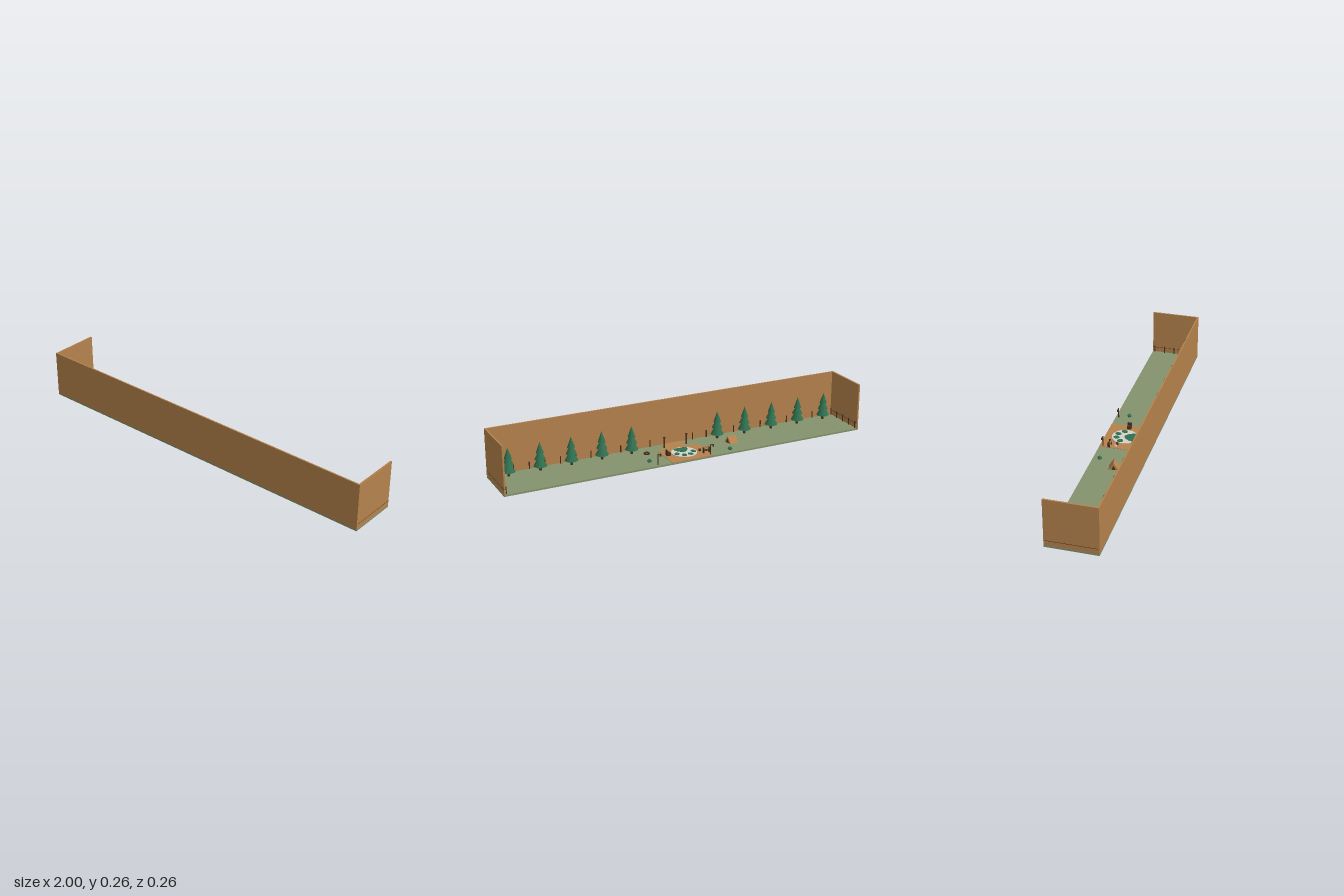
import * as THREE from 'three';

const mat = (name, color, extra = {}) => {
  const m = new THREE.MeshStandardMaterial({ color, ...extra });
  m.name = name;
  return m;
};

export function createModel() {
  const root = new THREE.Group();
  root.name = 'campYard';
  const tan = mat('tanWood', 0xb5824c);
  const grass = mat('grassGreen', 0x84926d);
  const pine = mat('pineGreen', 0x2f6f4f, { flatShading: true });
  const dark = mat('darkWood', 0x4a3020);
  const stone = mat('paleStone', 0xd2d2c8);
  const ember = mat('emberOrange', 0xc8783a);
  const GY = 0.009; // lawn height

  const add = (name, geo, m, x, y, z, parent = root) => {
    const o = new THREE.Mesh(geo, m);
    o.name = name;
    o.position.set(x, y, z);
    parent.add(o);
    return o;
  };
  const box = (name, m, w, h, d, x, y, z, parent) =>
    add(name, new THREE.BoxGeometry(w, h, d), m, x, y, z, parent);
  const cyl = (name, m, r, h, x, y, z, parent, n = 8) =>
    add(name, new THREE.CylinderGeometry(r, r, h, n), m, x, y, z, parent);
  const group = (name, x, y, z) => {
    const g = new THREE.Group();
    g.name = name;
    g.position.set(x, y, z);
    root.add(g);
    return g;
  };

  // Lawn and the three walls; the back is open
  box('lawn', grass, 2, GY, 0.264, 0, GY / 2, 0);
  box('frontWall', tan, 2, 0.248, 0.0075, 0, GY + 0.124, 0.12825);
  for (const s of [-1, 1]) {
    box('sideWall', tan, 0.0085, 0.248, 0.2565, s * 0.9953, GY + 0.124, -0.00375);
    box('sideSeam', dark, 0.009, 0.002, 0.256, s * 0.9955, 0.036, -0.004);
  }

  // Fence posts along the front and side walls
  const postGeo = new THREE.CylinderGeometry(0.003, 0.003, 0.038, 6);
  for (let i = 0; i < 24; i++) {
    const x = -0.949 + i * 0.0825;
    if (Math.abs(x) > 0.06) add('fencePost', postGeo, dark, x, GY + 0.019, 0.12);
  }
  for (const s of [-1, 1])
    for (let i = 0; i < 5; i++)
      add('fencePost', postGeo, dark, s * 0.986, GY + 0.019, -0.12 + i * 0.058);

  // Square patio and path to the front wall
  box('patio', tan, 0.235, 0.002, 0.182, -0.0025, GY + 0.001, -0.041);
  box('path', tan, 0.12, 0.002, 0.076, 0, GY + 0.001, 0.087);

  // Round stone with a paw print
  cyl('stoneDisc', stone, 0.067, 0.004, 0, GY + 0.003, -0.03, root, 32);
  const pad = new THREE.Shape();
  pad.moveTo(0, 0.027);
  pad.bezierCurveTo(0.018, 0.027, 0.036, -0.004, 0.038, -0.018);
  pad.bezierCurveTo(0.039, -0.034, 0.018, -0.031, 0, -0.029);
  pad.bezierCurveTo(-0.018, -0.031, -0.039, -0.034, -0.038, -0.018);
  pad.bezierCurveTo(-0.036, -0.004, -0.018, 0.027, 0, 0.027);
  const padGeo = new THREE.ExtrudeGeometry(pad, { depth: 0.003, bevelEnabled: false, curveSegments: 8 });
  padGeo.rotateX(-Math.PI / 2);
  add('pawPad', padGeo, pine, 0, GY + 0.004, -0.004);
  for (const s of [-1, 1])
    for (const [x, z, r] of [[0.047, -0.042, -0.4], [0.018, -0.069, -0.15]]) {
      const toe = cyl('pawToe', pine, 0.013, 0.003, s * x, GY + 0.0055, z, root, 16);
      toe.scale.z = 1.25;
      toe.rotation.y = s * r;
    }

  // Pine trees in two rows of five
  const tiers = [[0.035, 0.06, 0.032], [0.028, 0.055, 0.067], [0.02, 0.058, 0.1]];
  for (const start of [-0.91, 0.245])
    for (let i = 0; i < 5; i++) {
      const g = group('pineTree', start + i * 0.165, GY, 0.08);
      cyl('trunk', dark, 0.007, 0.045, 0, 0.0225, 0, g);
      tiers.forEach(([r, h, y], k) => {
        const t = add('foliage', new THREE.ConeGeometry(r, h, 10), pine, 0, y + h / 2 - 0.008, 0, g);
        t.rotation.y = k * 0.3;
      });
    }

  // Ridge tent
  const tri = new THREE.Shape([[-0.025, 0], [0.025, 0], [0, 0.036]].map(p => new THREE.Vector2(...p)));
  const tentGeo = new THREE.ExtrudeGeometry(tri, { depth: 0.05, bevelEnabled: false });
  tentGeo.translate(0, 0, -0.025);
  const tent = group('tent', -0.29, GY, -0.005);
  tent.rotation.y = Math.PI / 2 + 0.17;
  add('tentCanvas', tentGeo, tan, 0, 0, 0, tent);
  for (const s of [-1, 1]) {
    const door = new THREE.Shape([[-0.01, 0], [0.01, 0], [0, 0.024]].map(p => new THREE.Vector2(...p)));
    const d = add('tentDoor', new THREE.ShapeGeometry(door), dark, 0, 0.0005, s * 0.0255, tent);
    if (s < 0) d.rotation.y = Math.PI;
  }

  // Lamp posts with a short arm and hanging lantern
  for (const x of [-0.108, 0.19]) {
    const g = group('lampPost', x, GY, -0.116);
    cyl('lampPole', dark, 0.0028, 0.056, 0, 0.028, 0, g);
    box('lampArm', dark, 0.02, 0.003, 0.004, -0.008, 0.055, 0, g);
    box('lantern', dark, 0.007, 0.011, 0.007, -0.015, 0.048, 0, g);
  }

  // Gate posts beside the path
  for (const x of [-0.065, 0.062]) {
    const g = group('gatePost', x, GY, 0.075);
    cyl('post', dark, 0.0035, 0.055, 0, 0.0275, 0, g);
    box('cap', dark, 0.01, 0.005, 0.01, 0, 0.057, 0, g);
  }

  // Bench with back rest, and two bowls next to it
  const bench = group('bench', -0.102, GY, -0.083);
  box('seat', dark, 0.042, 0.004, 0.014, 0, 0.016, 0, bench);
  box('backRest', tan, 0.042, 0.012, 0.003, 0, 0.028, 0.008, bench);
  for (const s of [-1, 1]) box('leg', dark, 0.004, 0.03, 0.014, s * 0.016, 0.015, 0.001, bench);
  cyl('bowl', stone, 0.007, 0.008, -0.1, GY + 0.005, -0.05, root, 12);
  cyl('bowl', dark, 0.007, 0.012, -0.082, GY + 0.006, -0.047, root, 12);

  // Small wooden chair
  const chair = group('chair', 0.09, GY, -0.03);
  box('seat', dark, 0.022, 0.016, 0.022, 0, 0.009, 0, chair);
  box('backRest', dark, 0.004, 0.03, 0.022, 0.009, 0.017, 0, chair);

  // Fire pit
  const ring = add('firePitRing', new THREE.TorusGeometry(0.012, 0.005, 6, 14), dark, 0.18, GY + 0.004, 0.037);
  ring.rotation.x = Math.PI / 2;
  cyl('embers', ember, 0.01, 0.004, 0.18, GY + 0.002, 0.037, root, 12);

  // Low shrubs
  for (const [x, z] of [[-0.233, -0.096], [0.212, -0.064]]) {
    const b = add('shrub', new THREE.IcosahedronGeometry(0.013, 0), pine, x, GY + 0.006, z);
    b.scale.y = 0.75;
  }
  return root;
}
